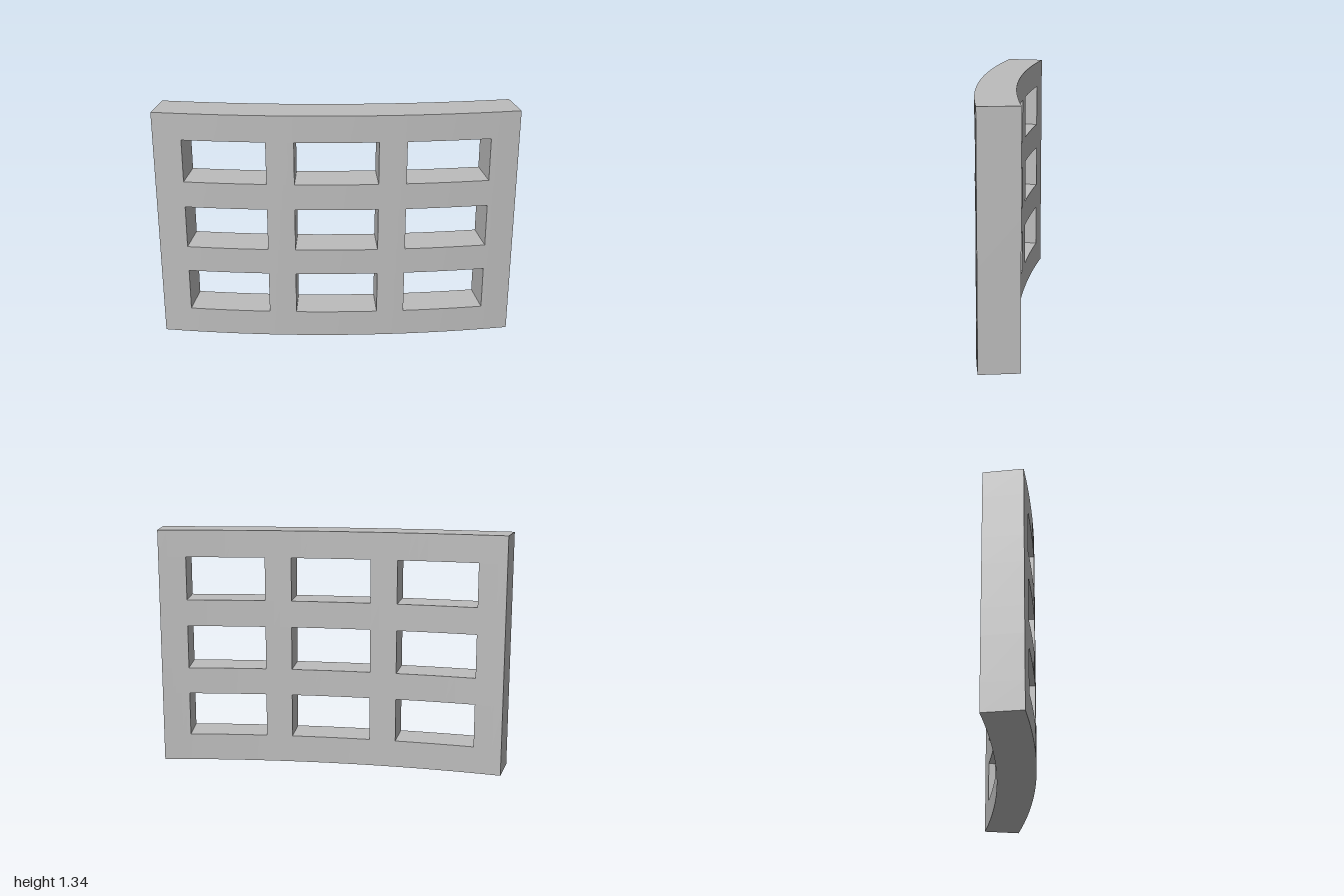
import * as THREE from 'three';
import { toCreasedNormals } from 'three/addons/utils/BufferGeometryUtils.js';

const FRONT_R = 6.29, BACK_R = 6.076, CENTRE_Z = -6.145;

// Angles across the curve, with each bar and opening cut into short steps
function angleSteps() {
  const edges = [-0.1597, -0.1343, -0.0612, -0.0367, 0.0367, 0.0612, 0.1343, 0.1597];
  const steps = [];
  for (let i = 0; i < 7; i++) {
    const n = i % 2 ? 8 : 3; // odd spans are openings
    for (let k = 0; k < n; k++) {
      const at = (t) => THREE.MathUtils.lerp(edges[i], edges[i + 1], t / n);
      steps.push({ a0: at(k), a1: at(k + 1), open: i % 2 === 1 });
    }
  }
  return steps;
}

function curvedGrid() {
  const rows = [0, 0.153, 0.397, 0.547, 0.791, 0.941, 1.184, 1.335];
  const cols = angleSteps();
  const positions = [];
  const point = (a, y, r) => [r * Math.sin(a), y, CENTRE_Z + r * Math.cos(a)];
  const quad = (a, b, c, d) => positions.push(...a, ...b, ...c, ...a, ...c, ...d);
  const solid = (c, r) =>
    c >= 0 && c < cols.length && r >= 0 && r < 7 && !(cols[c].open && r % 2 === 1);

  for (let c = 0; c < cols.length; c++) {
    for (let r = 0; r < 7; r++) {
      if (!solid(c, r)) continue;
      const { a0, a1 } = cols[c], y0 = rows[r], y1 = rows[r + 1];
      const corners = (R) => [point(a0, y0, R), point(a1, y0, R), point(a1, y1, R), point(a0, y1, R)];
      const f = corners(FRONT_R), b = corners(BACK_R);
      quad(f[0], f[1], f[2], f[3]);
      quad(b[1], b[0], b[3], b[2]);
      // Side walls only where the solid ends
      if (!solid(c - 1, r)) quad(b[0], f[0], f[3], b[3]);
      if (!solid(c + 1, r)) quad(f[1], b[1], b[2], f[2]);
      if (!solid(c, r - 1)) quad(b[0], b[1], f[1], f[0]);
      if (!solid(c, r + 1)) quad(f[3], f[2], b[2], b[3]);
    }
  }
  const geometry = new THREE.BufferGeometry();
  geometry.setAttribute('position', new THREE.Float32BufferAttribute(positions, 3));
  return toCreasedNormals(geometry, Math.PI / 6);
}

export function createModel() {
  const group = new THREE.Group();
  group.name = 'curvedWindowPanel';
  const grey = new THREE.MeshStandardMaterial({ color: 0xbcbcbc });
  grey.name = 'light grey';
  const wall = new THREE.Mesh(curvedGrid(), grey);
  wall.name = 'curvedGridWall';
  group.add(wall);
  return group;
}
